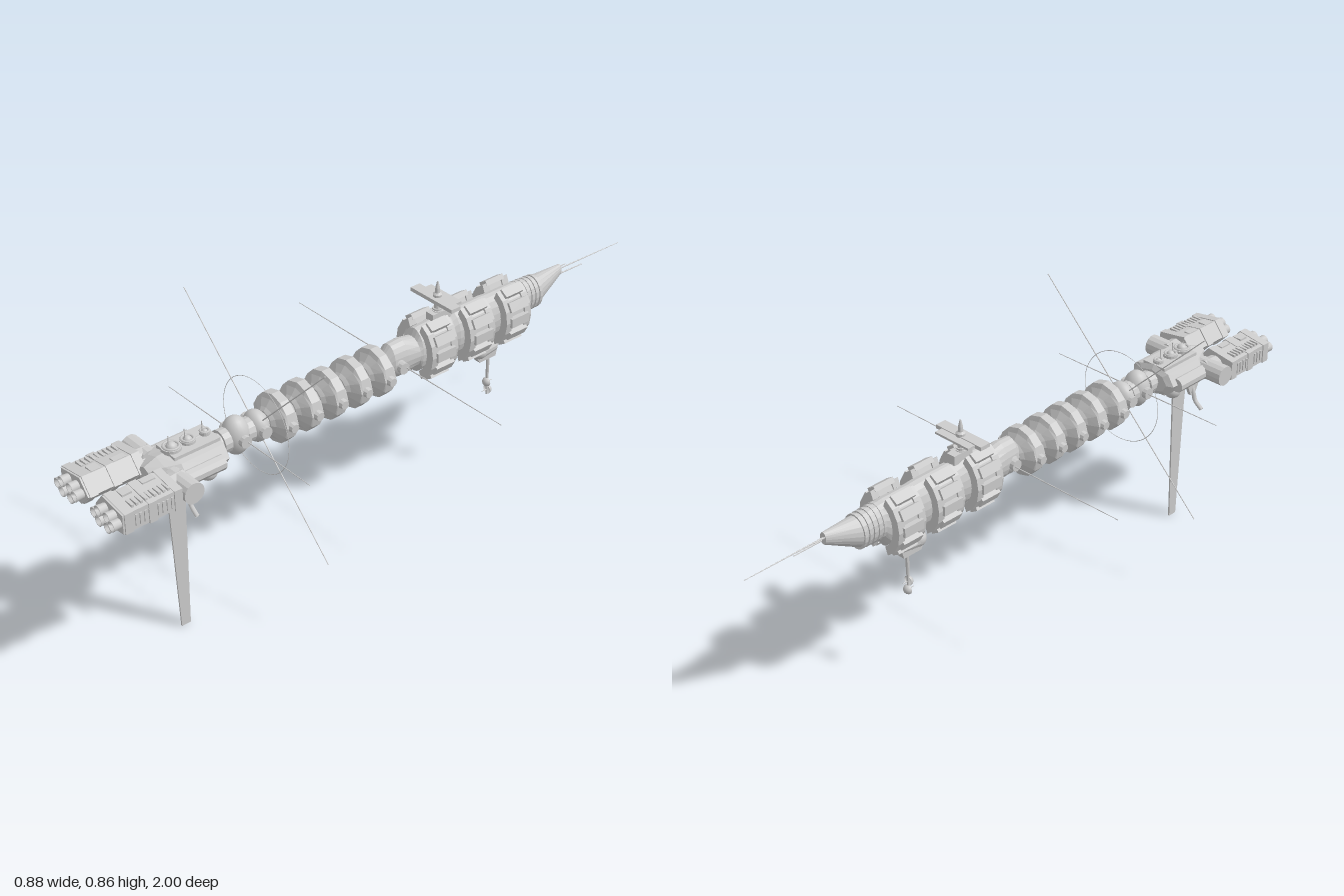
import * as THREE from 'three';

const AXIS = 0.553;
const mat = new THREE.MeshStandardMaterial({ color: 0xcccccc, flatShading: true });
const smooth = new THREE.MeshStandardMaterial({ color: 0xcccccc, side: THREE.DoubleSide });
const V = (x, y, z) => new THREE.Vector3(x, y, z);

export function createModel() {
  const root = new THREE.Group();

  function add(name, geo, x = 0, y = 0, z = 0, m = mat) {
    const mesh = new THREE.Mesh(geo, m);
    mesh.name = name;
    mesh.position.set(x, y, z);
    root.add(mesh);
    return mesh;
  }
  const box = (name, x, y, z, w, h, d) => add(name, new THREE.BoxGeometry(w, h, d), x, y, z);
  const ball = (name, x, y, z, r, sx = 1, sy = 1, sz = 1) =>
    add(name, new THREE.SphereGeometry(r, 20, 12), x, y, z, smooth).scale.set(sx, sy, sz);

  // Straight round bar between two points
  function rod(name, a, b, r0, r1 = r0, n = 8) {
    const mesh = add(name, new THREE.CylinderGeometry(r1, r0, a.distanceTo(b), n));
    mesh.position.copy(a).add(b).multiplyScalar(0.5);
    mesh.quaternion.setFromUnitVectors(V(0, 1, 0), b.clone().sub(a).normalize());
    return mesh;
  }
  // Hull through elliptical sections [z, centre y, half width, half height], front to back
  function loft(name, sections, n = 16) {
    const rows = sections.length - 1;
    const geo = new THREE.CylinderGeometry(1, 1, 1, n, rows).rotateX(Math.PI / 2);
    const p = geo.attributes.position;
    for (let i = 0; i < p.count; i++) {
      const [z, yc, rx, ry] = sections[Math.round((0.5 - p.getZ(i)) * rows)];
      p.setXYZ(i, p.getX(i) * rx, yc + p.getY(i) * ry, z);
    }
    geo.computeVertexNormals();
    return add(name, geo);
  }
  // Outline in x,y pushed along z from z0 to z1
  function prism(name, pts, z0, z1) {
    const shape = new THREE.Shape(pts.map(([x, y]) => new THREE.Vector2(x, y)));
    const geo = new THREE.ExtrudeGeometry(shape, { depth: z1 - z0, bevelEnabled: false });
    return add(name, geo, 0, 0, z0);
  }
  // Outline in z,y with a thickness across x
  function plate(name, pts, t, x = 0) {
    const shape = new THREE.Shape(pts.map(([z, y]) => new THREE.Vector2(z, y)));
    const geo = new THREE.ExtrudeGeometry(shape, { depth: t, bevelEnabled: false });
    return add(name, geo.translate(0, 0, -t / 2).rotateY(-Math.PI / 2), x);
  }

  // Engine nacelles with six nozzles each
  for (const s of [-1, 1]) {
    const hex = (k) => [[0.012, 0.553], [0.05, 0.6], [0.145, 0.585], [0.145, 0.523], [0.05, 0.512]]
      .map(([x, y]) => [s * (0.085 + (x - 0.085) * k), AXIS + (y - AXIS) * k]);
    prism('engineNacelle', hex(0.94), 0.8, 0.975);
    for (const z of [0.79, 0.87, 0.945]) prism('nacelleBand', hex(1), z, z + 0.025);
    for (let i = 0; i < 6; i++) {
      const a = i * Math.PI / 3;
      const x = s * 0.085 + Math.cos(a) * 0.04, y = AXIS + Math.sin(a) * 0.0185;
      const profile = [[0, -0.03], [0.012, -0.03], [0.016, 0.018], [0.013, 0.018], [0.008, -0.005], [0, -0.005]];
      add('engineNozzle', new THREE.LatheGeometry(profile.map(([r, h]) => new THREE.Vector2(r, h)), 12)
        .rotateX(Math.PI / 2), x, y, 0.982, smooth);
    }
    for (let i = 0; i < 9; i++) {
      box('nacelleRib', s * 0.115, 0.587, 0.822 + i * 0.014, 0.03, 0.012, 0.007);
      box('nacelleSidePanel', s * 0.141, 0.553, 0.822 + i * 0.014, 0.008, 0.035, 0.007);
    }
    box('nacelleDetail', s * 0.065, 0.592, 0.845, 0.02, 0.012, 0.04);
    box('nacelleDetail', s * 0.07, 0.592, 0.92, 0.03, 0.012, 0.03);

    // Crossbar, side tanks and lower claws of the engine block
    rod('crossbar', V(s * 0.05, AXIS, 0.755), V(s * 0.148, AXIS, 0.755), 0.032, 0.032, 14);
    rod('nacelleMount', V(s * 0.075, AXIS, 0.74), V(s * 0.08, AXIS, 0.81), 0.032, 0.032, 10);
    rod('sideTank', V(s * 0.075, 0.55, 0.61), V(s * 0.075, 0.55, 0.74), 0.023, 0.023, 10);
    ball('lowerTank', s * 0.04, 0.512, 0.635, 0.027);
    const claw = new THREE.CatmullRomCurve3([V(s * 0.045, 0.52, 0.715), V(s * 0.06, 0.475, 0.715),
      V(s * 0.068, 0.452, 0.715), V(s * 0.095, 0.43, 0.715)]);
    add('claw', new THREE.TubeGeometry(claw, 10, 0.007, 6), 0, 0, 0, smooth);
    plate('clawBrace', [[0.75, 0.525], [0.68, 0.525], [0.705, 0.47], [0.725, 0.47]], 0.012, s * 0.052);
  }

  // Engine block, roof turrets and keel fin
  loft('engineBlock', [[0.81, AXIS, 0.025, 0.03], [0.77, AXIS, 0.055, 0.045], [0.73, AXIS, 0.083, 0.05],
    [0.59, AXIS, 0.08, 0.05], [0.58, AXIS, 0.06, 0.035]], 8).geometry.computeVertexNormals();
  box('roofPlate', 0, 0.594, 0.665, 0.085, 0.016, 0.15);
  box('bellyPlate', 0, 0.51, 0.68, 0.07, 0.02, 0.15);
  for (const [z, r] of [[0.61, 0.016], [0.667, 0.023], [0.72, 0.029]]) {
    add('turretBase', new THREE.CylinderGeometry(r, r, 0.016, 16), 0, 0.602, z);
    add('turretRim', new THREE.TorusGeometry(r * 0.75, 0.004, 6, 20).rotateX(Math.PI / 2), 0, 0.611, z, smooth);
    ball('turretDome', 0, 0.607, z, r * 0.55);
    rod('roofAntenna', V(0, 0.6, z + 0.008), V(0, 0.645, z + 0.008), 0.0015);
  }
  plate('keelFin', [[0.75, 0.52], [0.685, 0.52], [0.688, 0.4], [0.698, 0], [0.728, 0], [0.742, 0.4]], 0.005);

  // Spine core and its flanged modules
  rod('spineCore', V(0, AXIS, 0.6), V(0, AXIS, -0.14), 0.028, 0.028, 12);
  for (let i = 0; i < 5; i++) {
    const z = 0.013 + i * 0.089;
    loft('spineModule', [[0.043, 0.033, 0.033], [0.034, 0.045, 0.042], [0.02, 0.075, 0.062], [0.014, 0.075, 0.077],
      [-0.014, 0.075, 0.077], [-0.02, 0.075, 0.062], [-0.034, 0.045, 0.042], [-0.043, 0.033, 0.033]]
      .map(([dz, rx, ry]) => [z + dz, AXIS, rx, ry]), 12);
    for (const s of [-1, 1]) {
      rod('moduleKnob', V(s * 0.07, AXIS, z), V(s * 0.086, AXIS, z), 0.016, 0.013, 10);
    }
  }

  // Joints at both ends of the spine
  for (const [z, rx, ry, rz] of [[0.51, 0.042, 0.06, 0.04], [0.44, 0.045, 0.048, 0.033], [-0.06, 0.043, 0.045, 0.04]]) {
    ball('spineJoint', 0, AXIS, z, 1, rx, ry, rz);
    rod('jointAxle', V(-0.052, AXIS, z), V(0.052, AXIS, z), 0.018, 0.018, 12);
  }
  for (const z of [0.475, 0.555]) rod('jointCollar', V(0, AXIS, z - 0.012), V(0, AXIS, z + 0.012), 0.036, 0.036, 14);

  // Long aerials and the thin ring
  for (const s of [-1, 1]) {
    rod('sideAerial', V(0, AXIS, -0.068), V(s * 0.44, AXIS, -0.068), 0.002, 0.001, 6);
    rod('sideAerial', V(0, AXIS, 0.506), V(s * 0.315, AXIS, 0.506), 0.002, 0.001, 6);
    for (const t of [-1, 1]) {
      rod('diagonalAerial', V(0, AXIS, 0.44), V(s * 0.305, AXIS + t * 0.303, 0.44), 0.002, 0.0015, 6);
    }
  }
  add('aerialRing', new THREE.TorusGeometry(0.146, 0.001, 4, 64), 0, AXIS, 0.44, smooth);

  // Rear hull, ribbed neck and upswept tail cone
  const C = 0.563;
  loft('rearHull', [[-0.01, AXIS, 0.02, 0.03], [-0.04, C, 0.036, 0.058], [-0.085, C, 0.04, 0.06],
    [-0.13, C, 0.043, 0.05], [-0.14, C, 0.045, 0.072], [-0.235, C, 0.046, 0.078], [-0.27, C, 0.042, 0.068],
    [-0.285, C, 0.046, 0.077], [-0.4, C, 0.046, 0.077], [-0.43, C, 0.044, 0.075], [-0.53, C, 0.044, 0.075],
    [-0.55, 0.577, 0.04, 0.058], [-0.625, 0.579, 0.038, 0.048], [-0.735, 0.61, 0.012, 0.019]], 20);
  for (let i = 0; i < 5; i++) {
    const z = -0.548 - i * 0.017;
    loft('neckRib', [[z, 0.578, 0.043, 0.058 - i * 0.001], [z - 0.01, 0.578, 0.043, 0.058 - i * 0.001]], 20);
  }
  rod('tailNeedle', V(0, 0.612, -0.73), V(0, 0.61, -1), 0.0025, 0.001, 6);
  rod('tailNeedle', V(0.007, 0.6, -0.72), V(0.007, 0.598, -0.83), 0.003, 0.0015, 6);
  rod('tailNeedle', V(-0.006, 0.615, -0.72), V(-0.006, 0.615, -0.77), 0.003, 0.0015, 6);

  // C-shaped side clamps around the rear hull
  function arc(s, rx, ry, t, limit) {
    const outer = [], inner = [];
    for (let i = 0; i <= 6; i++) {
      const a = (-limit + i * limit / 3) * Math.PI / 180;
      outer.push([s * rx * Math.cos(a), C + ry * Math.sin(a)]);
      inner.unshift([s * (rx - t) * Math.cos(a), C + (ry - t) * Math.sin(a)]);
    }
    return outer.concat(inner);
  }
  for (const z of [-0.193, -0.343, -0.49]) {
    for (const s of [-1, 1]) {
      for (const dz of [-0.05, 0.026]) prism('clampFlange', arc(s, 0.08, 0.097, 0.026, 68), z + dz, z + dz + 0.024);
      prism('clampCore', arc(s, 0.074, 0.09, 0.02, 64), z - 0.03, z + 0.03);
      for (let i = -2; i <= 2; i++) {
        const a = i * 29 * Math.PI / 180;
        box('clampPad', s * 0.079 * Math.cos(a), C + 0.096 * Math.sin(a), z, 0.016, 0.03, 0.07)
          .rotation.z = s * a;
      }
      for (const dz of [-0.03, 0.03]) {
        rod('clampStrut', V(s * 0.03, C, z + dz), V(s * 0.065, C, z + dz), 0.012, 0.012, 8);
      }
    }
  }

  // Dorsal tower with cross wing
  box('towerBase', 0, 0.645, -0.235, 0.03, 0.03, 0.07);
  loftTower([[0.64, 0.013], [0.685, 0.009], [0.69, 0.014], [0.715, 0.014], [0.72, 0.008], [0.735, 0.007], [0.757, 0.002]]);
  function loftTower(pts) {
    add('tower', new THREE.LatheGeometry(pts.map(([y, r]) => new THREE.Vector2(r, y)), 12), 0, 0, -0.23);
  }
  box('crossWing', 0, 0.702, -0.222, 0.176, 0.012, 0.035);
  box('wingSpar', 0, 0.702, -0.24, 0.13, 0.007, 0.05);
  for (const y of [0.66, 0.668]) add('towerCollar', new THREE.CylinderGeometry(0.015, 0.015, 0.004, 12), 0, y, -0.23);

  // Ventral pod with hanging sensor mast
  plate('podPylon', [[-0.38, 0.51], [-0.49, 0.51], [-0.465, 0.415], [-0.4, 0.415], [-0.385, 0.44]], 0.022);
  ball('podNose', 0, 0.452, -0.405, 0.027);
  rod('podBody', V(0, 0.452, -0.405), V(0, 0.452, -0.465), 0.027, 0.02, 14);
  rod('sensorMast', V(0, 0.42, -0.444), V(0, 0.28, -0.444), 0.006, 0.003);
  for (const [y, s] of [[0.325, 1], [0.297, -1]]) {
    const dish = add('sensorDish', new THREE.SphereGeometry(0.015, 16, 6, 0, Math.PI * 2, 0, Math.PI / 2),
      0, y, -0.444, smooth);
    dish.rotation.x = s * Math.PI / 2;
    rod('dishFeed', V(0, y, -0.444), V(0, y, -0.444 - s * 0.02), 0.002, 0.001, 6);
  }
  return root;
}
